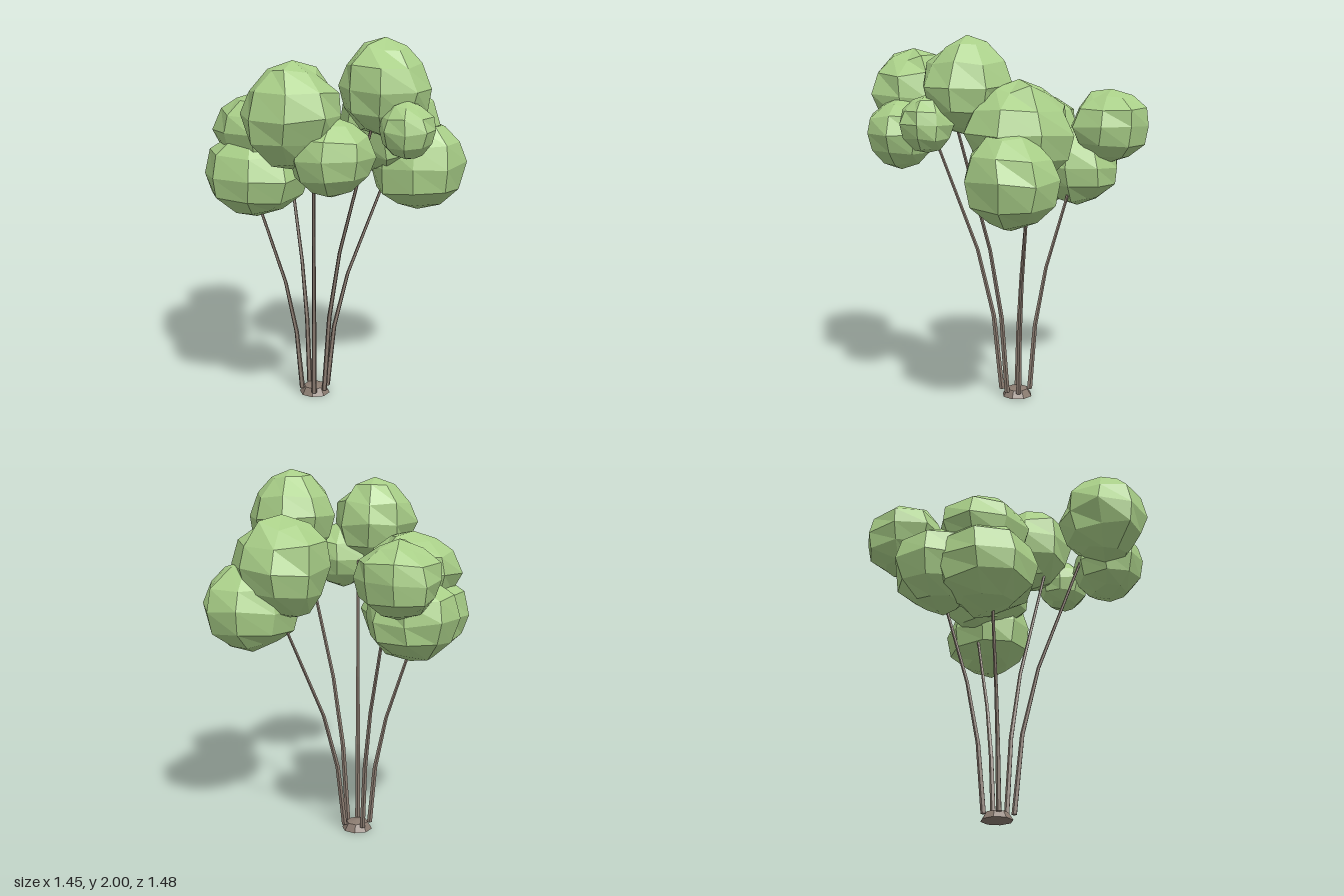
import * as THREE from 'three';

const leaf = new THREE.MeshStandardMaterial({ color: 0xa9cf88, flatShading: true, side: THREE.DoubleSide });
const bark = new THREE.MeshStandardMaterial({ color: 0x8a7b70, flatShading: true });

// Repeatable noise in -1..1
function noise(a, b) {
  const s = Math.sin(a * 127.1 + b * 311.7) * 43758.5453;
  return (s - Math.floor(s)) * 2 - 1;
}

// Faceted leaf ball: an 8-sided sphere with nudged ring vertices and pointed poles
function clump(name, [x, y, z], [rx, ry, rz], seed) {
  const cols = 8, rows = 6;
  const geo = new THREE.SphereGeometry(1, cols, rows);
  const p = geo.attributes.position;
  const v = new THREE.Vector3();
  for (let i = 0; i < p.count; i++) {
    const row = Math.floor(i / (cols + 1));
    const col = i % (cols + 1) % cols;
    v.fromBufferAttribute(p, i);
    if (row > 0 && row < rows) {
      const k = row * 17 + col + seed * 101;
      v.multiplyScalar(1.015 + 0.05 * noise(k, 1));
      v.x += 0.05 * noise(k, 2);
      v.y += 0.06 * noise(k, 3);
      v.z += 0.05 * noise(k, 4);
    } else {
      v.y *= 1.06;
    }
    p.setXYZ(i, v.x, v.y, v.z);
  }
  const mesh = new THREE.Mesh(geo, leaf);
  mesh.name = name;
  mesh.scale.set(rx, ry, rz);
  mesh.position.set(x, y, z);
  return mesh;
}

// Thin five-sided stem that leans further out with height and ends inside the leaves
function stem([bx, bz], [tx, ty, tz]) {
  const y0 = 0.03;
  const geo = new THREE.CylinderGeometry(0.008, 0.015, 3, 5, 3);
  geo.translate(0, 1.5, 0);
  const rise = [0, 0.33, 0.62, 1.15];
  const lean = [0, 0.14, 0.42, 1.23];
  const p = geo.attributes.position;
  for (let i = 0; i < p.count; i++) {
    const row = Math.round(p.getY(i));
    p.setXYZ(i,
      p.getX(i) + bx + (tx - bx) * lean[row],
      y0 + (ty - y0) * rise[row],
      p.getZ(i) + bz + (tz - bz) * lean[row]);
  }
  const mesh = new THREE.Mesh(geo, bark);
  mesh.name = 'stem';
  return mesh;
}

// Each branch: stem foot, point where the stem enters the leaves, then its two leaf balls
const branches = [
  { name: 'leftBranch', foot: [0.015, 0.025], tip: [0.285, 1.08, 0.11],
    balls: [[[0.315, 1.51, 0.165], [0.26, 0.26, 0.28]], [[0.445, 1.3, 0.27], [0.27, 0.24, 0.235]]] },
  { name: 'frontBranch', foot: [-0.04, 0.07], tip: [0.01, 1.36, 0.33],
    balls: [[[0.125, 1.75, 0.365], [0.235, 0.238, 0.23]], [[0.095, 1.56, 0.575], [0.145, 0.138, 0.14]]] },
  { name: 'rightFrontBranch', foot: [-0.11, 0.07], tip: [-0.3, 1.32, 0.33],
    balls: [[[-0.49, 1.67, 0.425], [0.245, 0.245, 0.23]], [[-0.355, 1.475, 0.555], [0.21, 0.185, 0.19]]] },
  { name: 'rightBackBranch', foot: [-0.12, -0.03], tip: [-0.28, 1.03, -0.17],
    balls: [[[-0.26, 1.49, -0.22], [0.225, 0.195, 0.25]], [[-0.285, 1.26, -0.215], [0.275, 0.23, 0.285]]] },
  { name: 'backBranch', foot: [-0.04, -0.07], tip: [0, 1.15, -0.29],
    balls: [[[0.07, 1.51, -0.515], [0.22, 0.19, 0.225]], [[-0.1, 1.285, -0.4], [0.24, 0.22, 0.245]]] },
];

export function createModel() {
  const tree = new THREE.Group();
  tree.name = 'tree';

  // Low flared root
  const root = new THREE.Mesh(new THREE.CylinderGeometry(0.06, 0.085, 0.04, 8), bark);
  root.name = 'root';
  root.position.set(-0.055, 0.02, 0);
  const cap = new THREE.Mesh(new THREE.ConeGeometry(0.06, 0.012, 8), bark);
  cap.name = 'rootCap';
  cap.position.set(-0.055, 0.046, 0);
  tree.add(root, cap);

  branches.forEach((b, i) => {
    const branch = new THREE.Group();
    branch.name = b.name;
    branch.add(stem(b.foot, b.tip));
    b.balls.forEach(([pos, size], j) =>
      branch.add(clump(j ? 'lowerLeaves' : 'upperLeaves', pos, size, i * 2 + j + 1)));
    tree.add(branch);
  });
  return tree;
}
